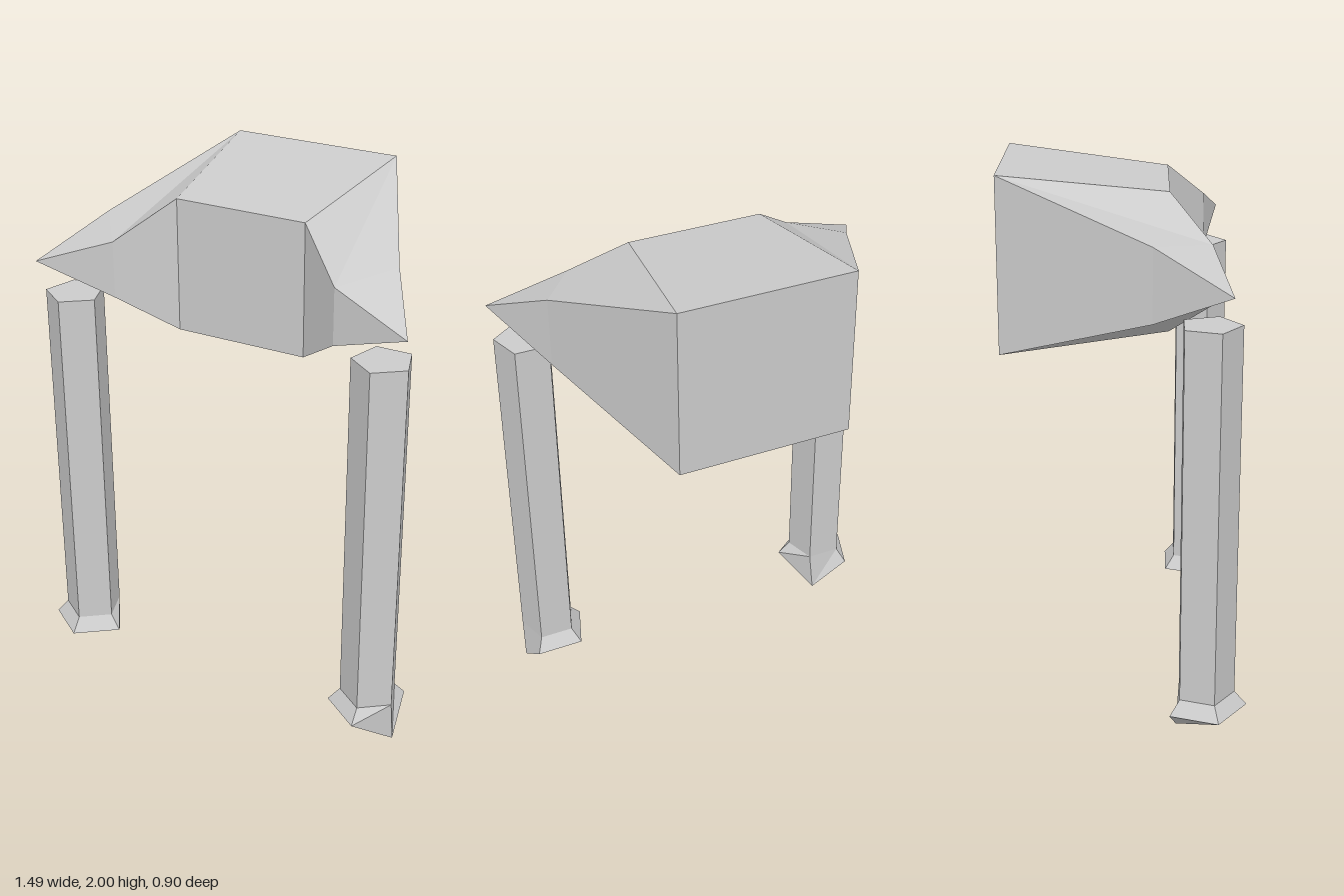
import * as THREE from 'three';

const material = new THREE.MeshStandardMaterial({ color: 0xcccccc, flatShading: true });

// Faceted mesh from a list of convex polygons (arrays of Vector3, counter-clockwise from outside)
function facetMesh(name, polygons) {
  const points = [];
  for (const p of polygons) {
    for (let i = 1; i < p.length - 1; i++) points.push(p[0], p[i], p[i + 1]);
  }
  const geometry = new THREE.BufferGeometry().setFromPoints(points);
  geometry.computeVertexNormals();
  const mesh = new THREE.Mesh(geometry, material);
  mesh.name = name;
  return mesh;
}

// Wedge body with a forward-pointing horn on each side, mirrored in x and y
function makeBody() {
  const corner = (x, y, z) => (s, v) => new THREE.Vector3(s * x, v * y, z);
  const back = corner(0.325, 0.322, -0.445);
  const front = corner(0.253, 0.253, 0.16);
  const inner = corner(0.435, 0.107, 0.305);
  const outer = corner(0.58, 0.133, 0.1);
  const tip = corner(0.73, 0, 0.367);
  const polygons = [];
  const add = (flip, ...p) => polygons.push(flip ? p.reverse() : p);

  for (const s of [1, -1]) {
    // upper and lower horn slopes
    for (const v of [1, -1]) {
      const [a, b, c, d, t] = [back, front, inner, outer, tip].map((f) => f(s, v));
      const flip = s * v < 0;
      add(flip, a, b, c);
      add(flip, a, c, d);
      add(flip, c, t, d);
    }
    // inner horn wall, outer side wall and their tips
    const f = s < 0;
    add(f, front(s, 1), front(s, -1), inner(s, -1), inner(s, 1));
    add(f, inner(s, 1), inner(s, -1), tip(s, 1));
    add(f, outer(s, 1), outer(s, -1), back(s, -1), back(s, 1));
    add(f, tip(s, 1), outer(s, -1), outer(s, 1));
  }
  // top, bottom, front and back panels
  for (const v of [1, -1]) add(v < 0, back(-1, v), front(-1, v), front(1, v), back(1, v));
  add(false, front(-1, 1), front(-1, -1), front(1, -1), front(1, 1));
  add(true, back(-1, 1), back(-1, -1), back(1, -1), back(1, 1));

  const body = facetMesh('body', polygons);
  body.position.set(0.015, 1.678, 0);
  return body;
}

// Five-sided leg with a flared foot; one foot corner is pulled down to a toe
function makeLeg(name, x, toeIndex, toe) {
  const ring = (r, y) => Array.from({ length: 5 }, (_, i) => {
    const angle = (i * Math.PI * 2) / 5;
    return new THREE.Vector3(x + r * Math.sin(angle), y, 0.295 + r * Math.cos(angle));
  });
  const top = ring(0.111, 1.555);
  const ankle = ring(0.111, 0.168);
  const sole = ring(0.156, 0.115);
  sole[toeIndex].copy(toe);

  const shaft = [top];
  const foot = [];
  for (let i = 0; i < 5; i++) {
    const j = (i + 1) % 5;
    shaft.push([top[i], ankle[i], ankle[j], top[j]]);
    foot.push([ankle[i], sole[i], ankle[j]], [sole[i], sole[j], ankle[j]]);
  }
  // underside fans out from the toe
  const fan = Array.from({ length: 5 }, (_, i) => sole[(toeIndex - i + 5) % 5]);
  foot.push(fan);

  const leg = new THREE.Group();
  leg.name = name;
  leg.add(facetMesh('shaft', shaft), facetMesh('foot', foot));
  return leg;
}

export function createModel() {
  const model = new THREE.Group();
  model.name = 'hornedBodyOnLegs';
  model.add(
    makeBody(),
    makeLeg('leftLeg', 0.633, 1, new THREE.Vector3(0.742, 0, 0.312)),
    makeLeg('rightLeg', -0.6, 2, new THREE.Vector3(-0.548, 0, 0.195)),
  );
  return model;
}
